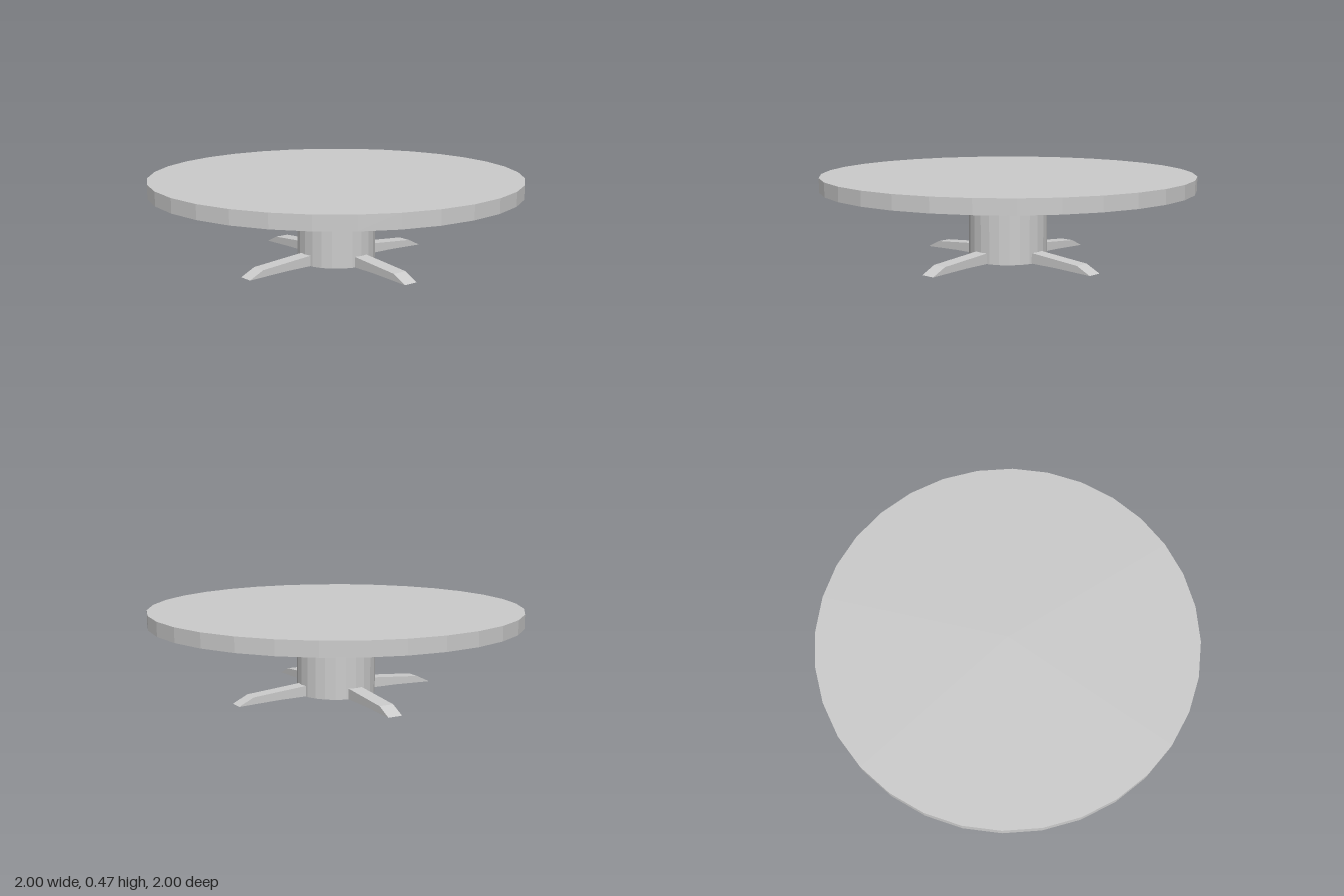
import * as THREE from 'three';

export function createModel() {
  const group = new THREE.Group();
  const material = new THREE.MeshStandardMaterial({ color: 0xcccccc, flatShading: true });

  const add = (name, geometry) => {
    const mesh = new THREE.Mesh(geometry, material);
    mesh.name = name;
    group.add(mesh);
    return mesh;
  };

  // Upright disc, given its bottom and top heights
  const disc = (name, radius, bottom, top, sides) => {
    const mesh = add(name, new THREE.CylinderGeometry(radius, radius, top - bottom, sides));
    mesh.position.y = (bottom + top) / 2;
  };

  disc('tabletop', 1, 0.395, 0.47, 32);
  disc('column', 0.212, 0.008, 0.396, 24);

  // Tapered foot: side profile extruded to its width, repeated around the column
  const footWidth = 0.08;
  const profile = new THREE.Shape([
    new THREE.Vector2(0.12, 0.009),
    new THREE.Vector2(0.36, 0.008),
    new THREE.Vector2(0.592, 0),
    new THREE.Vector2(0.51, 0.04),
    new THREE.Vector2(0.2, 0.066),
    new THREE.Vector2(0.12, 0.066),
  ]);
  const foot = new THREE.ExtrudeGeometry(profile, { depth: footWidth, bevelEnabled: false });
  foot.translate(0, 0, -footWidth / 2);
  ['footLeft', 'footBack', 'footRight', 'footFront'].forEach((name, i) => {
    add(name, foot).rotation.y = (i * Math.PI) / 2;
  });

  return group;
}
